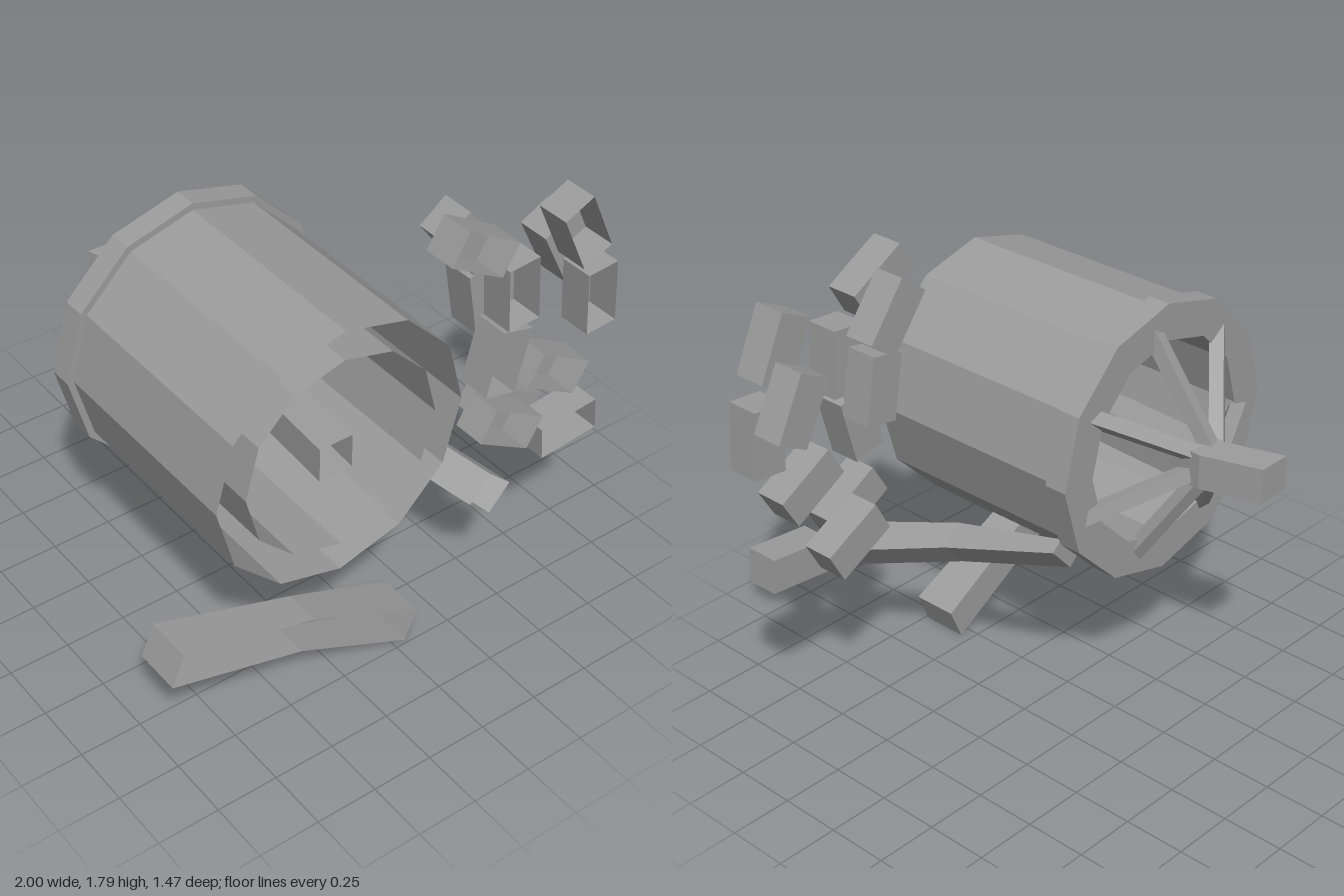
import * as THREE from 'three';

const material = new THREE.MeshStandardMaterial({ color: 0x9c9c9c, flatShading: true, side: THREE.DoubleSide });
const FRONT = 0.735;

// Joins four-cornered cross-sections; single sides or end caps can be left open.
function loft(name, sections, { startCap = true, endCap = true, openSide = -1 } = {}) {
  const pos = [];
  const quad = (a, b, c, d) => pos.push(...a, ...b, ...c, ...a, ...c, ...d);
  for (let i = 0; i < sections.length - 1; i++) {
    const s = sections[i], t = sections[i + 1];
    for (let j = 0; j < 4; j++) {
      const k = (j + 1) % 4;
      if (j !== openSide) quad(s[j], s[k], t[k], t[j]);
    }
  }
  const first = sections[0], last = sections[sections.length - 1];
  if (startCap) quad(first[0], first[3], first[2], first[1]);
  if (endCap) quad(...last);
  const geometry = new THREE.BufferGeometry();
  geometry.setAttribute('position', new THREE.Float32BufferAttribute(pos, 3));
  geometry.computeVertexNormals();
  const mesh = new THREE.Mesh(geometry, material);
  mesh.name = name;
  return mesh;
}

// Rectangle facing +z, turned by an angle in degrees.
function rect(x, y, z, w, h, degrees = 0) {
  const a = THREE.MathUtils.degToRad(degrees), c = Math.cos(a), s = Math.sin(a);
  return [[-1, -1], [1, -1], [1, 1], [-1, 1]].map(([u, v]) => {
    const p = u * w / 2, q = v * h / 2;
    return [x + p * c - q * s, y + p * s + q * c, z];
  });
}

export function createModel() {
  const model = new THREE.Group();
  model.name = 'brokenBarrelWheel';

  // Twelve-sided double wall with a wider back rim; the wall cavity is open at the front
  const wheel = new THREE.Group();
  wheel.name = 'wheel';
  wheel.position.set(-0.27, 1.08, 0);
  const profile = [[0.41, FRONT], [0.41, -0.25], [0.557, -0.25], [0.557, -0.155], [0.53, -0.155], [0.53, FRONT]];
  const barrel = new THREE.Mesh(
    new THREE.LatheGeometry(profile.map(([r, z]) => new THREE.Vector2(r, z)), 12), material);
  barrel.name = 'barrel';
  barrel.rotation.x = Math.PI / 2;
  wheel.add(barrel);

  // Seven slightly twisted spokes leaning back to the hub
  const inner = new THREE.Vector2(0.015, -0.485), outer = new THREE.Vector2(0.475, -0.215);
  for (let i = 0; i < 7; i++) {
    const holder = new THREE.Group();
    holder.name = 'spoke' + (i + 1);
    holder.rotation.z = THREE.MathUtils.degToRad(82.5 + i * 360 / 7);
    const spoke = new THREE.Mesh(new THREE.BoxGeometry(inner.distanceTo(outer), 0.055, 0.055), material);
    spoke.name = 'spokeBar';
    spoke.position.set((inner.x + outer.x) / 2, 0, (inner.y + outer.y) / 2);
    spoke.rotation.set(0.35, -Math.atan2(outer.y - inner.y, outer.x - inner.x), 0, 'YXZ');
    holder.add(spoke);
    wheel.add(holder);
  }
  model.add(wheel);

  // Bent hollow axle through the barrel
  model.add(loft('axle', [
    rect(-0.30, 1.08, -0.735, 0.14, 0.14),
    rect(-0.23, 1.08, -0.5, 0.14, 0.14),
    rect(-0.30, 1.08, FRONT, 0.14, 0.14),
  ], { endCap: false }));

  // Brace running outwards along the barrel side
  model.add(loft('brace', [
    rect(0.185, 0.75, -0.16, 0.06, 0.14, -42),
    rect(0.275, 0.65, 0.3, 0.11, 0.14, -42),
    rect(0.435, 0.54, FRONT, 0.135, 0.14, -42),
  ], { endCap: false }));

  // Bent ground beam with an open front
  const beamSection = (bx, by, tx, ty, back) => [[bx, by, FRONT], [bx, by, back], [tx, ty, back], [tx, ty, FRONT]];
  model.add(loft('groundBeam', [
    beamSection(-1, 0.385, -0.945, 0.51, 0.54),
    beamSection(-0.44, 0.232, -0.383, 0.36, 0.585),
    beamSection(0.05, 0, 0.105, 0.13, 0.545),
  ], { openSide: 3 }));

  // Scattered blocks: x, y, angle. The front layer is open at the front.
  const frontBlocks = [
    [0.333, 1.664, -30], [0.528, 1.415, -86], [0.48, 1.135, 76], [0.817, 1.56, -65],
    [0.92, 1.235, -86], [0.735, 0.968, -30], [0.522, 0.805, -30], [0.818, 0.668, 5],
  ];
  const backBlocks = [[0.407, 1.592, -53], [0.49, 1.335, -80], [0.875, 1.392, -63], [0.65, 0.755, -28]];
  const addBlocks = (list, name, back, front, endCap) => list.forEach(([x, y, a], i) =>
    model.add(loft(name + (i + 1), [rect(x, y, back, 0.27, 0.14, a), rect(x, y, front, 0.27, 0.14, a)], { endCap })));
  addBlocks(frontBlocks, 'frontBlock', 0.597, FRONT, false);
  addBlocks(backBlocks, 'backBlock', 0.452, 0.587, true);

  return model;
}
